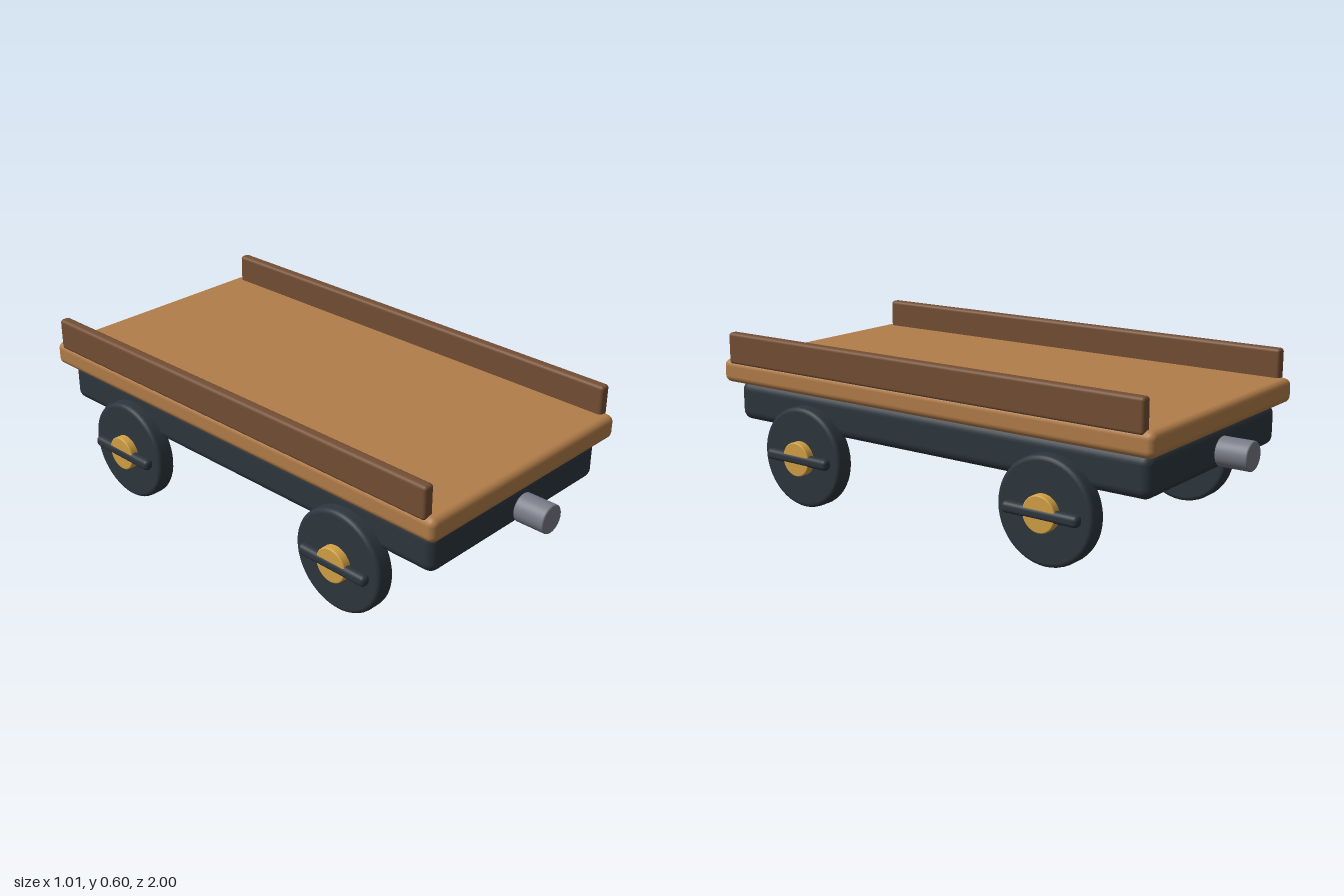
import * as THREE from 'three';
import { RoundedBoxGeometry } from 'three/addons/geometries/RoundedBoxGeometry.js';

const material = (name, color) => {
  const m = new THREE.MeshStandardMaterial({ color });
  m.name = name;
  return m;
};

export function createModel() {
  const deckWood = material('deck wood', 0xb27d49);
  const railWood = material('rail wood', 0x744f34);
  const iron = material('dark iron', 0x2d363d);
  const brass = material('brass', 0xd3a144);
  const steel = material('grey steel', 0x777a86);

  const model = new THREE.Group();
  model.name = 'flatWagon';

  const add = (name, geometry, mat, x, y, z, parent = model) => {
    const mesh = new THREE.Mesh(geometry, mat);
    mesh.name = name;
    mesh.position.set(x, y, z);
    parent.add(mesh);
    return mesh;
  };
  const box = (w, h, d, r) => new RoundedBoxGeometry(w, h, d, 4, r);

  // Disc with rounded rims, its axis along x
  const disc = (radius, width, r) => {
    const h = width / 2;
    const profile = [new THREE.Vector2(0, -h)];
    for (const [cy, start] of [[-h + r, -Math.PI / 2], [h - r, 0]]) {
      for (let i = 0; i <= 4; i++) {
        const a = start + (i / 4) * Math.PI / 2;
        profile.push(new THREE.Vector2(radius - r + r * Math.cos(a), cy + r * Math.sin(a)));
      }
    }
    profile.push(new THREE.Vector2(0, h));
    return new THREE.LatheGeometry(profile, 48).rotateZ(-Math.PI / 2);
  };

  // Body
  add('chassis', box(0.85, 0.145, 1.744, 0.035), iron, 0, 0.3375, 0);
  add('deck', box(0.94, 0.085, 1.814, 0.025), deckWood, 0, 0.4525, 0);

  // Side rails
  for (const side of [1, -1]) {
    add(side > 0 ? 'leftRail' : 'rightRail', box(0.04, 0.116, 1.744, 0.012), railWood,
      side * 0.45, 0.538, 0);
  }

  // Couplers at both ends
  const couplerGeo = disc(0.05, 0.115, 0.006).rotateY(Math.PI / 2);
  for (const end of [1, -1]) {
    add(end > 0 ? 'frontCoupler' : 'backCoupler', couplerGeo, steel, 0, 0.336, end * 0.9425);
  }

  // Wheels, each with a hub and a crossbar
  const wheelGeo = disc(0.182, 0.07, 0.016);
  const hubGeo = disc(0.062, 0.1, 0.005);
  const barGeo = box(0.036, 0.04, 0.29, 0.016);
  for (const side of [1, -1]) {
    for (const end of [1, -1]) {
      const wheel = new THREE.Group();
      wheel.name = (end > 0 ? 'front' : 'back') + (side > 0 ? 'Left' : 'Right') + 'Wheel';
      wheel.position.set(side * 0.435, 0.182, end * 0.522);
      add('tyre', wheelGeo, iron, 0, 0, 0, wheel);
      add('hub', hubGeo, brass, side * 0.0145, 0, 0, wheel);
      add('crossbar', barGeo, iron, side * 0.05, 0, 0, wheel);
      model.add(wheel);
    }
  }
  return model;
}
